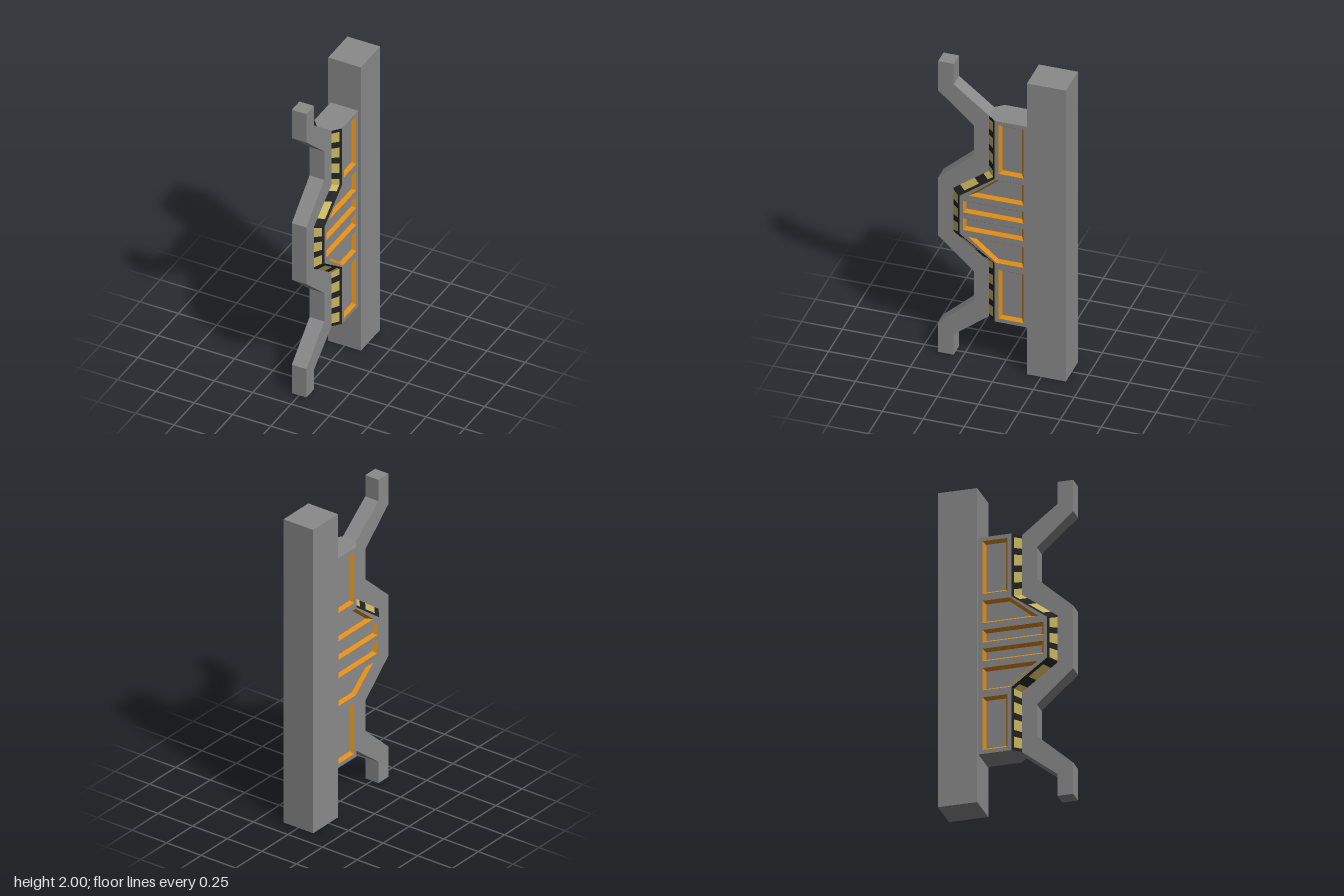
import * as THREE from 'three';

const grey = new THREE.MeshStandardMaterial({ name: 'grey metal', color: 0x8a8a8a });
const black = new THREE.MeshStandardMaterial({ name: 'stripe black', color: 0x222222 });
const yellow = new THREE.MeshStandardMaterial({ name: 'stripe yellow', color: 0xc8b660 });
const orange = new THREE.MeshStandardMaterial({ name: 'recess orange', color: 0xe08a10 });

const BODY = 0.09, RAIL = 0.048, DEPTH = 0.022, BEVEL = 0.016, BACK = -0.16;

// Body front edge as [z, y]: line along the rail, and line along the side face
const railLine = [[0.09, 0.31], [0.09, 0.69], [0.305, 0.85], [0.305, 1.15], [0.09, 1.31], [0.09, 1.69]];
const sideLine = [[0.04, 0.31], [0.04, 0.71], [0.255, 0.87], [0.255, 1.13], [0.04, 1.29], [0.04, 1.69]];

// Profiles given as [z, y] are drawn with u = -z, then turned to face +x
const toShape = pts => new THREE.Shape(pts.map(([z, y]) => new THREE.Vector2(-z, y)));

function add(parent, name, geometry, material) {
  const mesh = new THREE.Mesh(geometry, material);
  mesh.name = name;
  parent.add(mesh);
  return mesh;
}

// Flat-shaded geometry from four-cornered faces
function quads(list) {
  const pos = [];
  for (const [a, b, c, d] of list) pos.push(...a, ...b, ...c, ...a, ...c, ...d);
  const g = new THREE.BufferGeometry();
  g.setAttribute('position', new THREE.Float32BufferAttribute(pos, 3));
  g.computeVertexNormals();
  return g;
}

// Shrinks a convex outline whose corners run counter-clockwise seen from +x
function inset(pts, w) {
  const n = pts.length;
  const edge = i => {
    const [az, ay] = pts[i], [bz, by] = pts[(i + 1) % n];
    const du = az - bz, dv = by - ay, l = Math.hypot(du, dv);
    return { u: -az - dv / l * w, v: ay + du / l * w, du: du / l, dv: dv / l };
  };
  return pts.map((_, i) => {
    const p = edge((i + n - 1) % n), q = edge(i);
    const t = ((q.u - p.u) * q.dv - (q.v - p.v) * q.du) / (p.du * q.dv - p.dv * q.du);
    return [-(p.u + p.du * t), p.v + p.dv * t];
  });
}

const flipY = pts => pts.map(([z, y]) => [z, 2 - y]).reverse();

// Chamfered edge with hazard blocks
function addStripes(parent) {
  const count = 13, pitch = 1.38 / count;
  const isYellow = y => Math.abs(((y - 0.31) / pitch) % 1 - 0.5) < 0.31;
  const cuts = railLine.map(p => p[1]);
  for (let i = 0; i < count; i++) {
    cuts.push(0.31 + (i + 0.19) * pitch, 0.31 + (i + 0.81) * pitch);
  }
  cuts.sort((a, b) => a - b);
  const section = y => {
    let i = 0;
    while (i < railLine.length - 2 && y > railLine[i + 1][1]) i++;
    const t = (y - railLine[i][1]) / (railLine[i + 1][1] - railLine[i][1]);
    const at = (line, x) => new THREE.Vector3(x,
      THREE.MathUtils.lerp(line[i][1], line[i + 1][1], t),
      THREE.MathUtils.lerp(line[i][0], line[i + 1][0], t));
    const o = at(railLine, RAIL), s = at(sideLine, BODY);
    return [o, o.clone().lerp(s, 0.74), s];
  };
  const dark = [], bright = [];
  for (let k = 0; k < cuts.length - 1; k++) {
    const lo = section(cuts[k]), hi = section(cuts[k + 1]);
    (isYellow((cuts[k] + cuts[k + 1]) / 2) ? bright : dark).push([lo[0], lo[1], hi[1], hi[0]]);
    dark.push([lo[1], lo[2], hi[2], hi[1]]);
  }
  add(parent, 'stripeBlack', quads(dark), black);
  add(parent, 'stripeYellow', quads(bright), yellow);
}

// One side of the body, with its end cap; half a turn gives the other side
function makeBodySide() {
  const side = new THREE.Group();
  side.name = 'bodySide';

  const upper = [
    [[0.016, 1.33], [-0.135, 1.33], [-0.135, 1.665], [0.016, 1.665]],
    [[0.2, 1.143], [-0.135, 1.143], [-0.135, 1.285], [0.03, 1.285]],
    [[0.235, 1.02], [-0.135, 1.02], [-0.135, 1.1], [0.235, 1.1]],
  ];
  const recesses = [...upper, ...upper.map(flipY)];

  // Side face with openings
  const face = toShape([[BACK, 0.31], [BACK, 1.69], ...sideLine.slice().reverse()]);
  recesses.forEach(r => face.holes.push(toShape(r)));
  add(side, 'sideFace', new THREE.ShapeGeometry(face).rotateY(Math.PI / 2).translate(BODY, 0, 0), grey);

  // Sloped orange rims and sunken floors
  const rims = [];
  for (const r of recesses) {
    const floor = inset(r, BEVEL), n = r.length;
    const out = i => [BODY, r[i % n][1], r[i % n][0]];
    const inn = i => [BODY - DEPTH, floor[i % n][1], floor[i % n][0]];
    for (let i = 0; i < n; i++) rims.push([out(i), out(i + 1), inn(i + 1), inn(i)]);
    add(side, 'recessFloor',
      new THREE.ShapeGeometry(toShape(floor)).rotateY(Math.PI / 2).translate(BODY - DEPTH, 0, 0), grey);
  }
  add(side, 'recessRims', quads(rims), orange);

  addStripes(side);

  // End cap, drawn with v = -z
  const cap = new THREE.Shape([[-BODY, -BACK], [-BODY, -0.04], [-RAIL, -0.09], [RAIL, -0.09], [BODY, -0.04], [BODY, -BACK]]
    .map(([x, v]) => new THREE.Vector2(x, v)));
  add(side, 'endCap', new THREE.ShapeGeometry(cap).rotateX(-Math.PI / 2).translate(0, 1.69, 0), grey);
  return side;
}

export function createModel() {
  const model = new THREE.Group();
  model.name = 'wallPillar';

  // Square post at the back
  add(model, 'post', new THREE.BoxGeometry(0.214, 2, 0.238), grey).position.set(0, 1, -0.281);

  // Zigzag rail at the front
  const outer = [[0.4, 0], [0.4, 0.2], [0.18, 0.4], [0.18, 0.6], [0.4, 0.8],
    [0.4, 1.2], [0.18, 1.4], [0.18, 1.6], [0.4, 1.8], [0.4, 2]];
  const inner = [[0.305, 0], [0.305, 0.14], ...railLine, [0.305, 1.86], [0.305, 2]];
  const rail = new THREE.ExtrudeGeometry(toShape([...inner, ...outer.reverse()]),
    { depth: RAIL * 2, bevelEnabled: false });
  add(model, 'frontRail', rail.rotateY(Math.PI / 2).translate(-RAIL, 0, 0), grey);

  // Body between post and rail
  const left = makeBodySide();
  const right = makeBodySide();
  right.rotation.z = Math.PI;
  right.position.y = 2;
  model.add(left, right);
  const back = add(model, 'bodyBack', new THREE.PlaneGeometry(BODY * 2, 1.38), grey);
  back.rotation.y = Math.PI;
  back.position.set(0, 1, BACK);

  return model;
}
